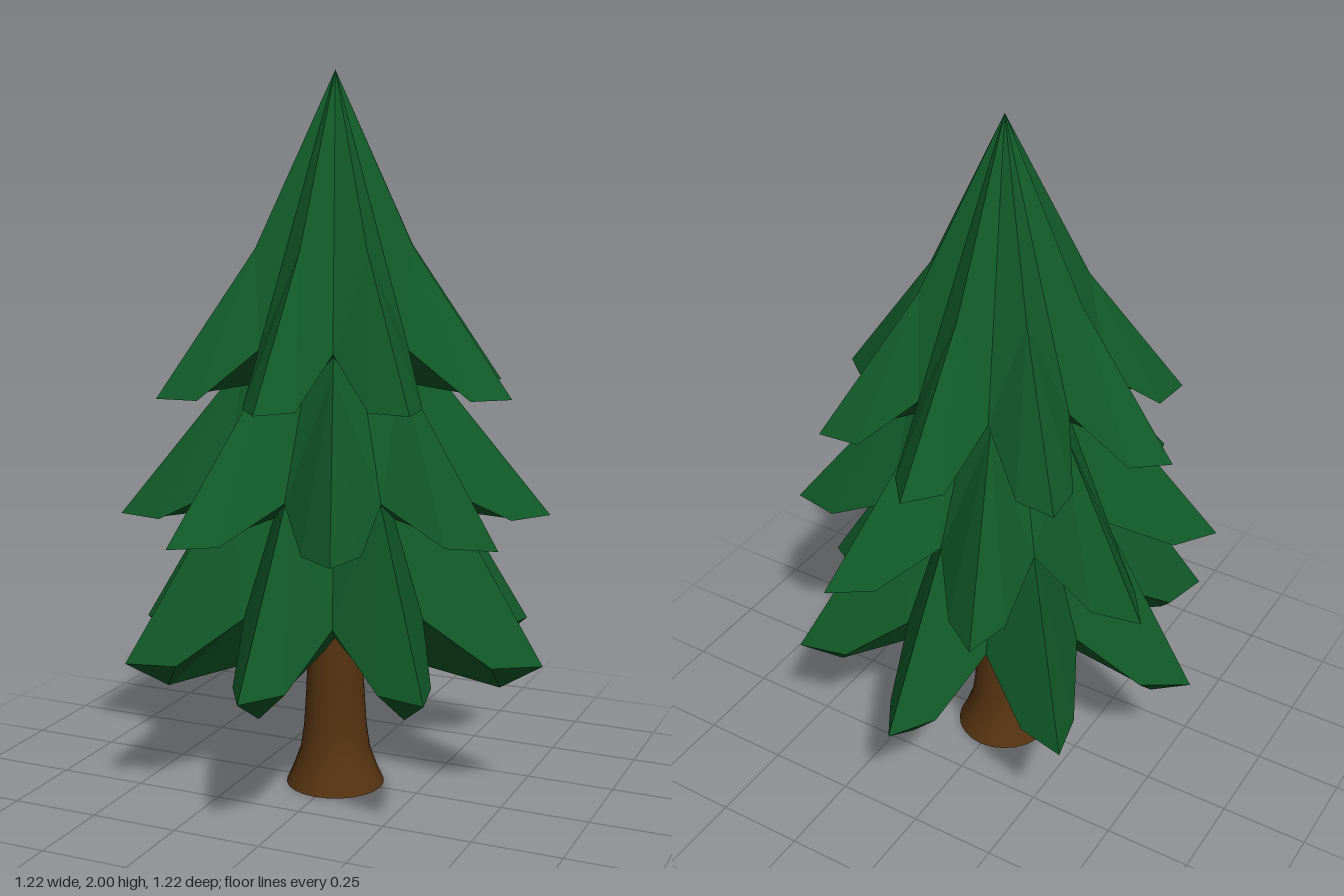
import * as THREE from 'three';

const COUNT = 8;
const STEP = (Math.PI * 2) / COUNT;

// A faceted star-shaped skirt of eight branches with folded undersides.
function branchTier({ apexY, kink, tip, cornerR, valley, keelY, centreY, turn }) {
  const pos = [];
  const at = (a, r, y, side = 0) => [
    Math.sin(a) * r + Math.cos(a) * side, y, Math.cos(a) * r - Math.sin(a) * side,
  ];
  for (let i = 0; i < COUNT; i++) {
    const a = turn + i * STEP;
    const apex = [0, apexY, 0];
    const centre = [0, centreY, 0];
    const K = at(a, ...kink);
    const T = at(a, ...tip);
    const keel = at(a, cornerR, keelY);
    // Both halves of the branch, mirrored about its ridge
    for (const s of [1, -1]) {
      const C = at(a, cornerR, tip[1], s * 0.075);
      const V = at(a + (s * STEP) / 2, ...valley);
      const faces = [
        [apex, K, V], [K, C, V], [K, T, C],          // upper side
        [T, keel, C], [keel, V, C], [keel, centre, V], // underside
      ];
      for (const [p, q, r] of faces) pos.push(...p, ...(s > 0 ? [...q, ...r] : [...r, ...q]));
    }
  }
  const geo = new THREE.BufferGeometry();
  geo.setAttribute('position', new THREE.Float32BufferAttribute(pos, 3));
  geo.computeVertexNormals();
  return geo;
}

export function createModel() {
  const model = new THREE.Group();
  model.name = 'pineTree';

  const needleGreen = new THREE.MeshStandardMaterial({ color: 0x115a28 });
  needleGreen.name = 'needleGreen';
  const barkBrown = new THREE.MeshStandardMaterial({ color: 0x553311 });
  barkBrown.name = 'barkBrown';

  const add = (name, geo, mat) => {
    const mesh = new THREE.Mesh(geo, mat);
    mesh.name = name;
    model.add(mesh);
  };

  // Trunk with a flared foot
  const profile = [[0.14, 0], [0.12, 0.045], [0.1, 0.1], [0.09, 0.17], [0.083, 0.28], [0.075, 0.5]];
  add('trunk', new THREE.LatheGeometry(profile.map(([r, y]) => new THREE.Vector2(r, y)), 24), barkBrown);
  const base = new THREE.CircleGeometry(0.14, 24);
  base.rotateX(Math.PI / 2);
  add('trunkBase', base, barkBrown);

  // Three tiers of branches, the middle one turned by half a step
  add('lowerBranches', branchTier({
    apexY: 1.35, kink: [0.3, 0.92], tip: [0.61, 0.42], cornerR: 0.49,
    valley: [0.34, 0.55], keelY: 0.345, centreY: 0.42, turn: 0,
  }), needleGreen);
  add('middleBranches', branchTier({
    apexY: 1.65, kink: [0.25, 1.22], tip: [0.6, 0.785], cornerR: 0.486,
    valley: [0.33, 0.88], keelY: 0.775, centreY: 0.84, turn: STEP / 2,
  }), needleGreen);
  add('upperBranches', branchTier({
    apexY: 2, kink: [0.23, 1.53], tip: [0.51, 1.14], cornerR: 0.42,
    valley: [0.28, 1.27], keelY: 1.145, centreY: 1.19, turn: 0,
  }), needleGreen);

  return model;
}
